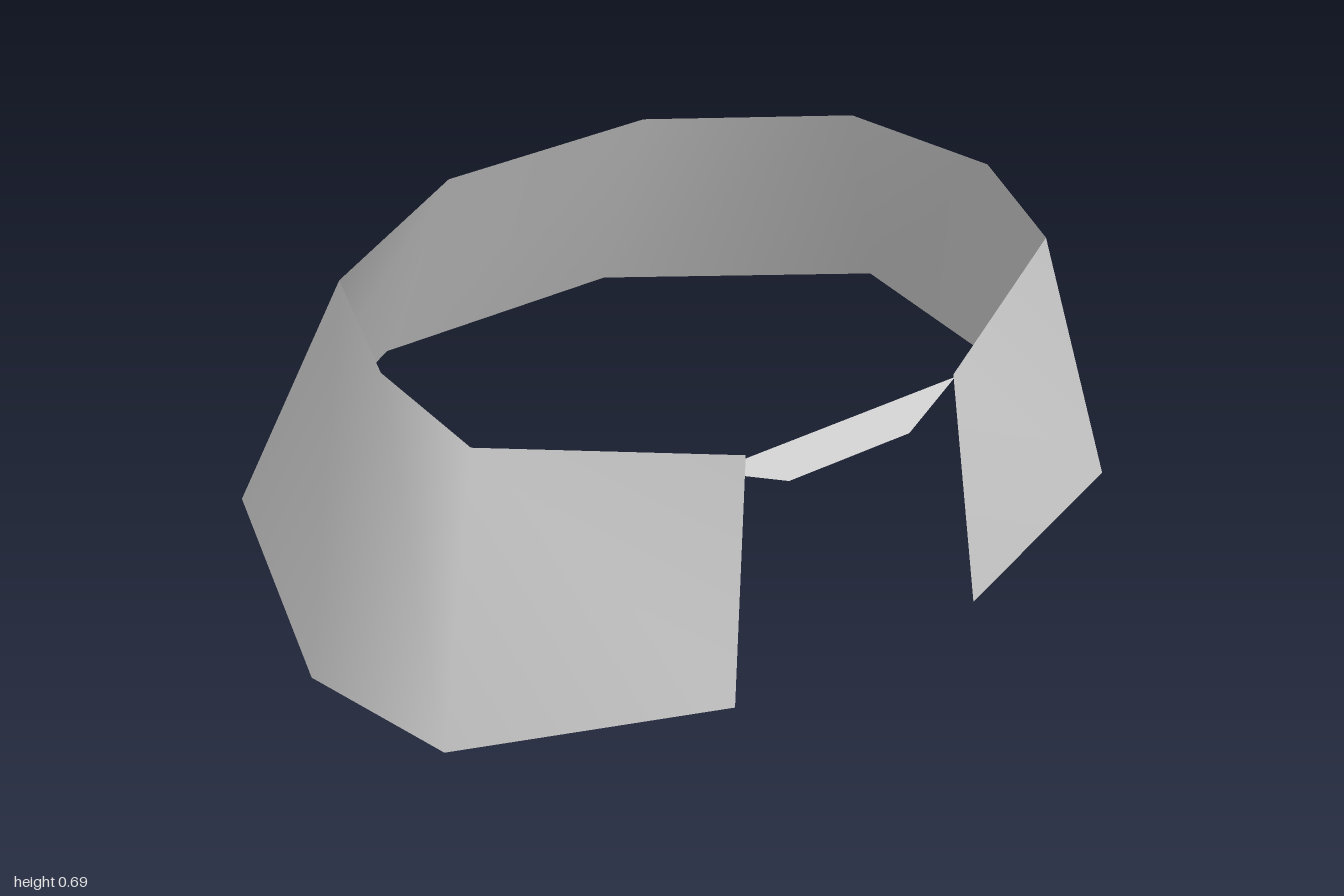
import * as THREE from 'three';

const grey = new THREE.MeshStandardMaterial({ color: 0xcccccc, side: THREE.DoubleSide });
grey.name = 'light grey';

// Indexed surface with smooth normals
function surface(name, points, faces) {
  const geometry = new THREE.BufferGeometry();
  geometry.setAttribute('position', new THREE.Float32BufferAttribute(points.flat(), 3));
  geometry.setIndex(faces.flat());
  geometry.computeVertexNormals();
  const mesh = new THREE.Mesh(geometry, grey);
  mesh.name = name;
  return mesh;
}

const mirror = ([x, y, z]) => [-x, y, z];

// Lower and upper rims of the left half, from front opening to back
const lower = [[0.32, 0, 0.735], [0.89, 0, 0.52], [1, 0, 0.155], [0.89, 0.11, -0.37], [0.315, 0.11, -0.735]];
const upper = [[0.265, 0.58, 0.68], [0.74, 0.633, 0.42], [0.79, 0.685, 0.155], [0.685, 0.685, -0.215], [0.265, 0.685, -0.475]];

export function createModel() {
  const group = new THREE.Group();
  group.name = 'collar';

  // Flared wall, open at the front
  const low = [...lower, ...lower.map(mirror).reverse()];
  const high = [...upper, ...upper.map(mirror).reverse()];
  const n = low.length;
  const faces = [];
  for (let i = 0; i < n - 1; i++) {
    faces.push([i, n + i, i + 1], [i + 1, n + i, n + i + 1]);
  }
  group.add(surface('flaredWall', [...low, ...high], faces));

  // Folded triangular flaps beside the opening
  const corner = [0.315, 0.53, 0.63];
  const flap = [lower[0], upper[0], corner];
  group.add(surface('leftFlap', flap, [[0, 1, 2]]));
  group.add(surface('rightFlap', flap.map(mirror), [[0, 2, 1]]));

  // Sloping bridge across the opening
  const lip = [0.155, 0.475, 0.68];
  group.add(surface('frontBridge', [corner, mirror(corner), mirror(lip), lip], [[0, 1, 2], [0, 2, 3]]));

  return group;
}
